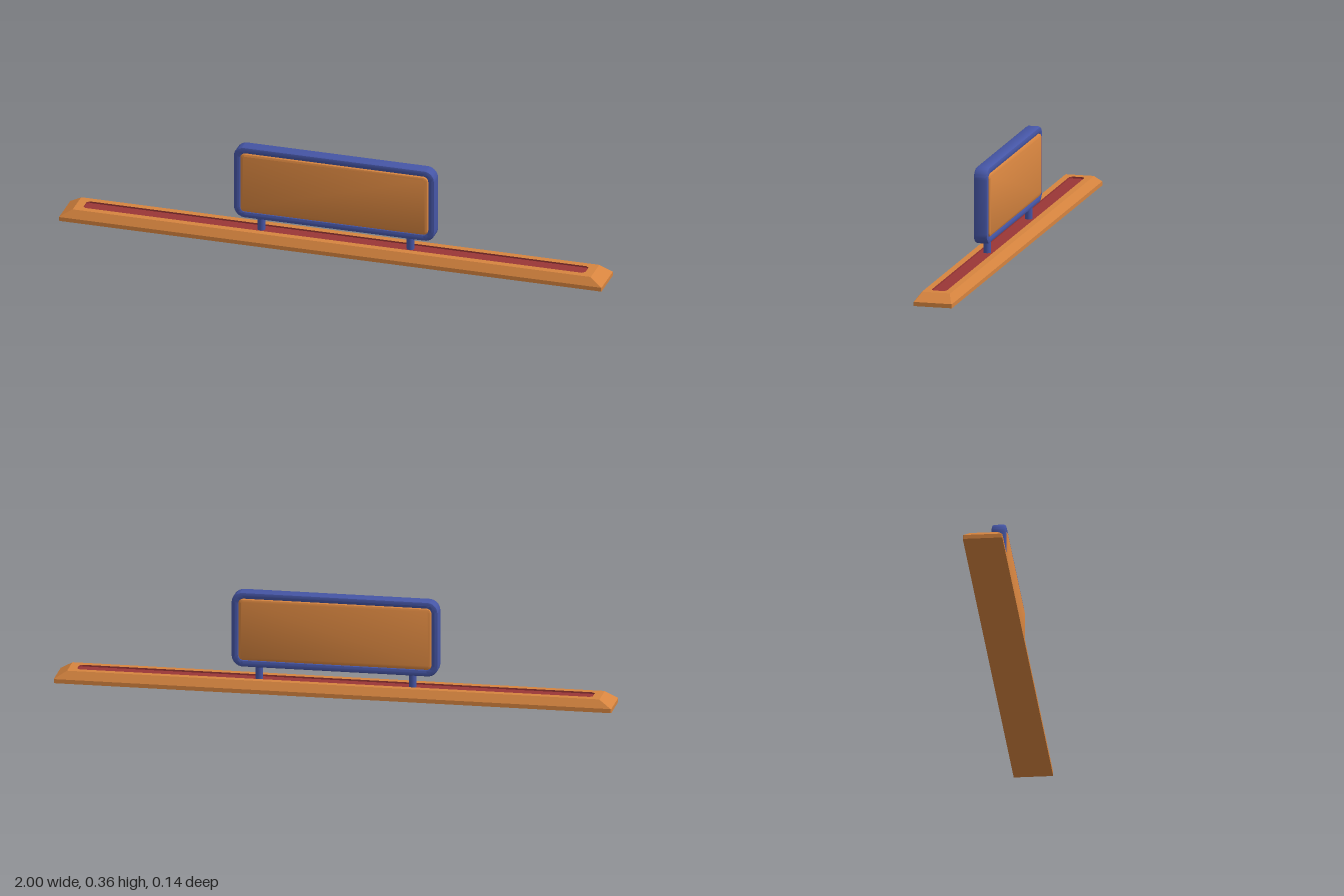
import * as THREE from 'three';
import { toCreasedNormals } from 'three/addons/utils/BufferGeometryUtils.js';

const material = (name, color) => {
  const m = new THREE.MeshStandardMaterial({ color });
  m.name = name;
  return m;
};

// Rectangle with cut corners, as a counter-clockwise ring of [x, y] points.
function cutRect(hx, hy, c) {
  return [[hx, -hy + c], [hx, hy - c], [hx - c, hy], [-hx + c, hy],
    [-hx, hy - c], [-hx, -hy + c], [-hx + c, -hy], [hx - c, -hy]];
}
const toShape = ring => new THREE.Shape(ring.map(([x, y]) => new THREE.Vector2(x, y)));
const flat = (shape, y) => new THREE.ShapeGeometry(shape).rotateX(-Math.PI / 2).translate(0, y, 0);

// Walls joining stacked rings; each level is { ring, y }.
function loft(levels, inward = false) {
  const pos = [];
  for (let k = 0; k + 1 < levels.length; k++) {
    const lo = levels[k], hi = levels[k + 1], n = lo.ring.length;
    for (let i = 0; i < n; i++) {
      const j = (i + 1) % n;
      const at = (l, q) => [l.ring[q][0], l.y, -l.ring[q][1]];
      const [a, b, c, d] = [at(lo, i), at(lo, j), at(hi, j), at(hi, i)];
      const tris = inward ? [a, c, b, a, d, c] : [a, b, c, a, c, d];
      tris.forEach(p => pos.push(...p));
    }
  }
  const g = new THREE.BufferGeometry();
  g.setAttribute('position', new THREE.Float32BufferAttribute(pos, 3));
  g.computeVertexNormals();
  return g;
}

function roundedRect(hx, hy, r, Type = THREE.Shape) {
  const s = new Type();
  s.moveTo(hx, -hy + r);
  s.absarc(hx - r, hy - r, r, 0, Math.PI / 2, false);
  s.absarc(-hx + r, hy - r, r, Math.PI / 2, Math.PI, false);
  s.absarc(-hx + r, -hy + r, r, Math.PI, Math.PI * 1.5, false);
  s.absarc(hx - r, -hy + r, r, Math.PI * 1.5, Math.PI * 2, false);
  return s;
}

// Extruded plate centred on z = 0, bevelled within its outline.
function plate(shape, halfDepth, bevel, bevelDepth) {
  const depth = 2 * (halfDepth - bevelDepth);
  const g = new THREE.ExtrudeGeometry(shape, {
    depth, curveSegments: 5, bevelEnabled: true, bevelSegments: 2,
    bevelSize: bevel, bevelOffset: -bevel, bevelThickness: bevelDepth,
  });
  return toCreasedNormals(g.translate(0, 0, -depth / 2), 0.7);
}

export function createModel() {
  const model = new THREE.Group();
  const orange = material('orange', 0xd6843f);
  const blue = material('blue', 0x4656a6);
  const red = material('red', 0x9a3636);
  const add = (parent, name, geometry, mat) => {
    const mesh = new THREE.Mesh(geometry, mat);
    mesh.name = name;
    parent.add(mesh);
    return mesh;
  };

  // Long base with sloping upper edges and a slot along the top
  const base = new THREE.Group();
  base.name = 'base';
  model.add(base);
  const foot = cutRect(1, 0.07, 0.002), deck = cutRect(0.955, 0.052, 0.002);
  const slot = cutRect(0.925, 0.028, 0.01);
  const TOP = 0.043, FLOOR = 0.037;
  add(base, 'baseSides', loft([{ ring: foot, y: 0 }, { ring: foot, y: 0.015 }, { ring: deck, y: TOP }]), orange);
  const deckShape = toShape(deck);
  deckShape.holes.push(toShape(slot));
  add(base, 'baseTop', flat(deckShape, TOP), orange);
  add(base, 'baseUnderside', flat(toShape(foot), 0).rotateX(Math.PI), orange);

  // Red slot lining
  add(base, 'slotWalls', loft([{ ring: slot, y: FLOOR }, { ring: slot, y: TOP }], true), red);
  add(base, 'slotFloor', flat(toShape(slot), FLOOR), red);

  // Upright sign: rounded frame, two-sided panel and two posts
  const sign = new THREE.Group();
  sign.name = 'sign';
  model.add(sign);
  const ring = roundedRect(0.371, 0.138, 0.04);
  ring.holes.push(roundedRect(0.345, 0.112, 0.018, THREE.Path));
  add(sign, 'frame', plate(ring, 0.026, 0.011, 0.008), blue).position.y = 0.221;
  add(sign, 'panel', plate(roundedRect(0.347, 0.114, 0.018), 0.03, 0.01, 0.012), orange).position.y = 0.221;
  for (const side of [-1, 1]) {
    const post = add(sign, side > 0 ? 'leftPost' : 'rightPost',
      new THREE.CylinderGeometry(0.014, 0.014, 0.055, 16), blue);
    post.position.set(side * 0.275, 0.0635, 0);
  }
  return model;
}
